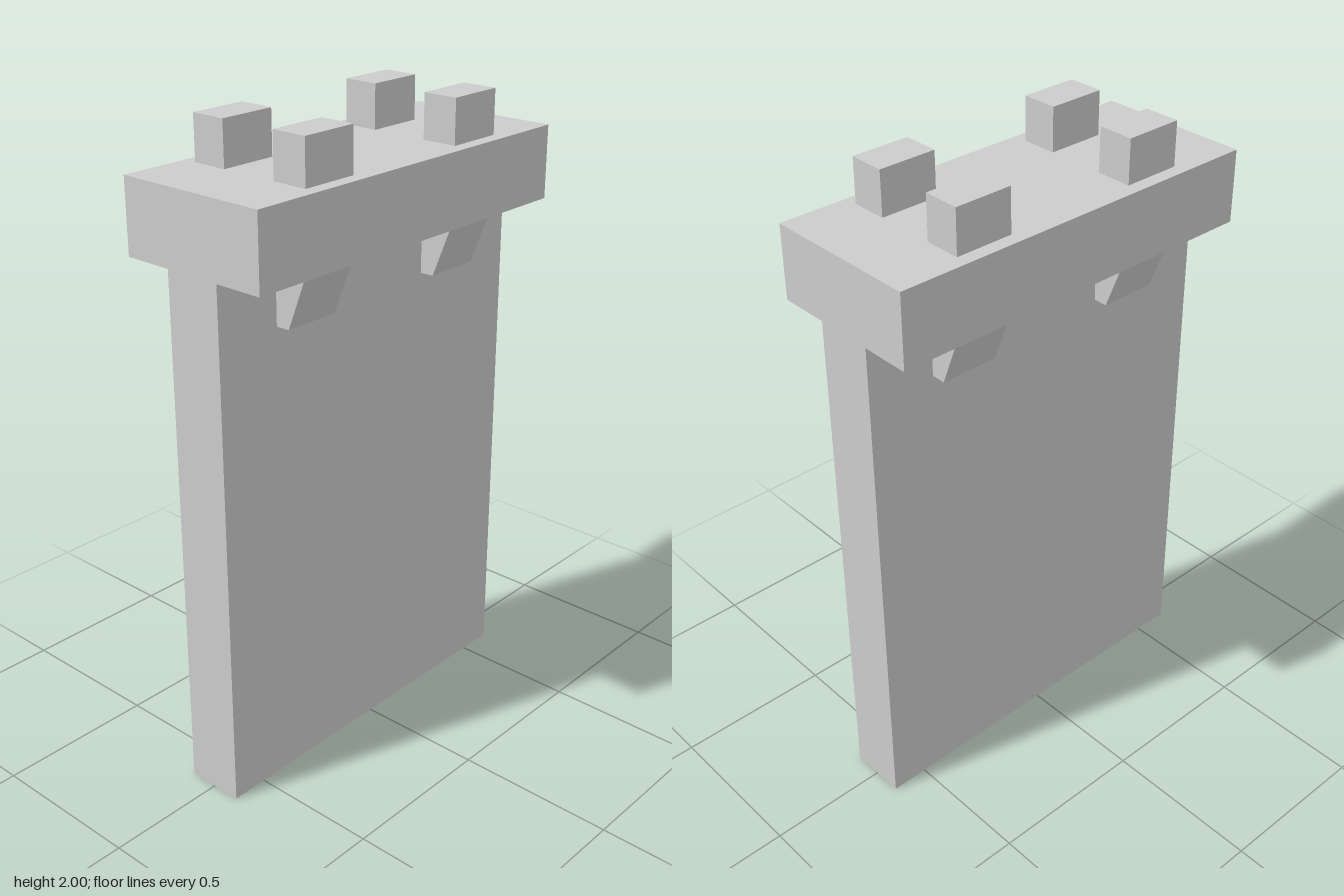
import * as THREE from 'three';

export function createModel() {
  const model = new THREE.Group();
  const material = new THREE.MeshStandardMaterial({ color: 0xcccccc, flatShading: true });

  const add = (name, geometry, x = 0, y = 0, z = 0) => {
    const mesh = new THREE.Mesh(geometry, material);
    mesh.name = name;
    mesh.position.set(x, y, z);
    model.add(mesh);
    return mesh;
  };

  const width = 1.236, wallDepth = 0.186;
  const capBottom = 1.636, capTop = 1.863;
  const blockWidth = 0.184, blockX = 0.309;

  // Wall slab and the overhanging walkway on top
  add('wall', new THREE.BoxGeometry(width, capBottom, wallDepth), 0, capBottom / 2, 0);
  add('walkway', new THREE.BoxGeometry(width, capTop - capBottom, 0.5), 0, (capTop + capBottom) / 2, 0);

  // Bracket side profile: outward distance, height
  const profile = new THREE.Shape([
    new THREE.Vector2(wallDepth / 2, 1.46),
    new THREE.Vector2(0.138, 1.46),
    new THREE.Vector2(0.207, capBottom),
    new THREE.Vector2(wallDepth / 2, capBottom),
  ]);
  const bracket = new THREE.ExtrudeGeometry(profile, { depth: blockWidth, bevelEnabled: false });
  bracket.translate(0, 0, -blockWidth / 2);

  const merlon = new THREE.BoxGeometry(blockWidth, 2 - capTop, 0.114);

  // A merlon above and a bracket below, at each side of front and back
  for (const [face, sz] of [['front', 1], ['back', -1]]) {
    for (const [side, sx] of [['Left', 1], ['Right', -1]]) {
      add(`${face}${side}Merlon`, merlon, sx * blockX, (2 + capTop) / 2, sz * 0.15);
      add(`${face}${side}Bracket`, bracket, sx * blockX).rotation.y = -sz * Math.PI / 2;
    }
  }

  return model;
}
